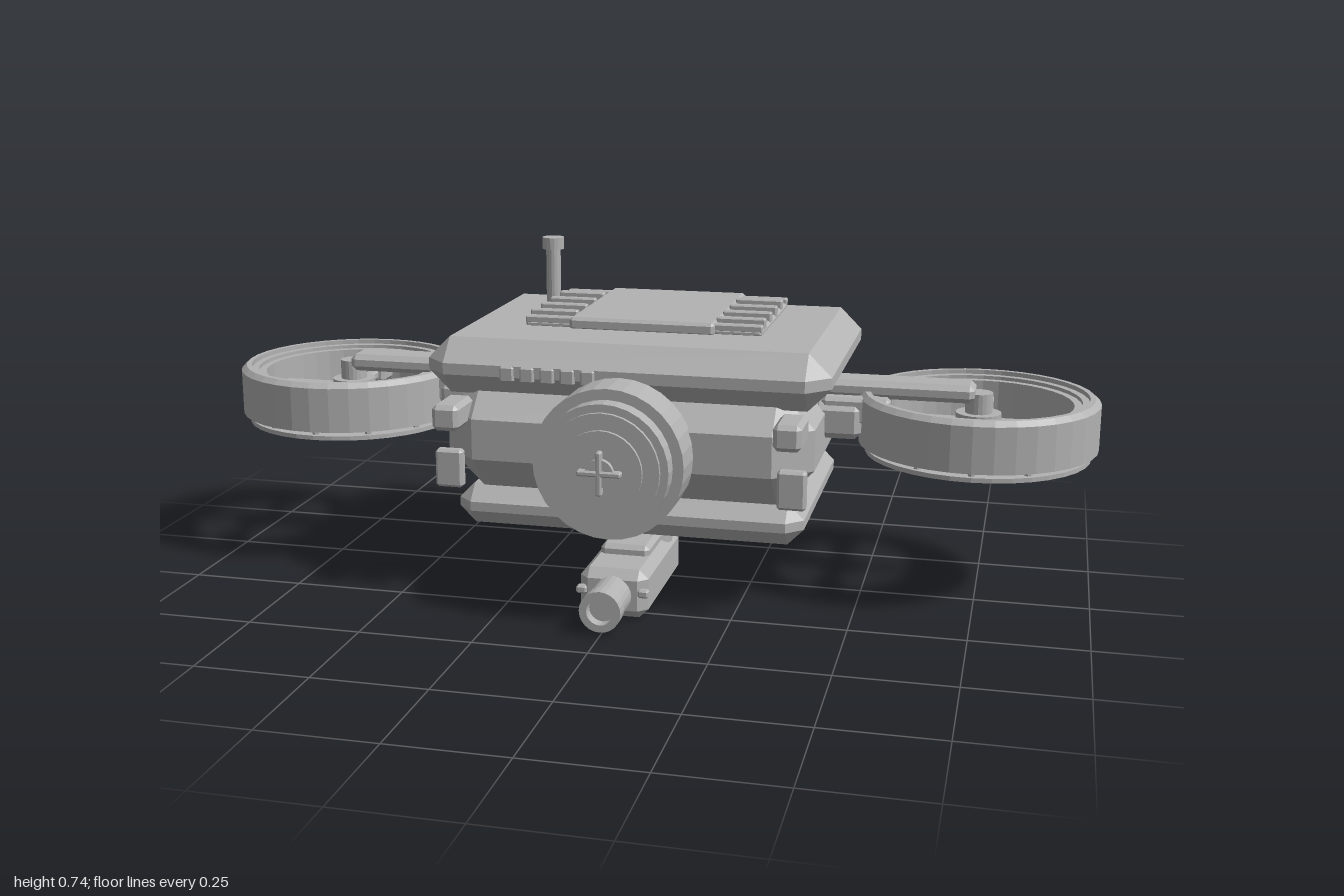
import * as THREE from 'three';
import { ConvexGeometry } from 'three/addons/geometries/ConvexGeometry.js';

const grey = new THREE.MeshStandardMaterial({ color: 0xb2b2b2 });
grey.name = 'hullGrey';
grey.flatShading = true;

function add(parent, name, geometry, x = 0, y = 0, z = 0) {
  const mesh = new THREE.Mesh(geometry, grey);
  mesh.name = name;
  mesh.position.set(x, y, z);
  parent.add(mesh);
  return mesh;
}

// Box given by its extents, with every edge and corner cut by c
function chamferBox(parent, name, [x0, x1], [y0, y1], [z0, z1], c) {
  const h = [(x1 - x0) / 2, (y1 - y0) / 2, (z1 - z0) / 2];
  const points = [];
  for (const sx of [-1, 1]) for (const sy of [-1, 1]) for (const sz of [-1, 1]) {
    for (let full = 0; full < 3; full++) {
      const p = h.map((v, i) => (i === full ? v : v - c));
      points.push(new THREE.Vector3(p[0] * sx, p[1] * sy, p[2] * sz));
    }
  }
  return add(parent, name, new ConvexGeometry(points), (x0 + x1) / 2, (y0 + y1) / 2, (z0 + z1) / 2);
}

function cylinder(parent, name, r, y0, y1, x, z, sides = 20) {
  return add(parent, name, new THREE.CylinderGeometry(r, r, y1 - y0, sides), x, (y0 + y1) / 2, z);
}

function cylinderZ(parent, name, r, z0, z1, x, y, sides = 32) {
  const g = new THREE.CylinderGeometry(r, r, z1 - z0, sides).rotateX(Math.PI / 2);
  return add(parent, name, g, x, y, (z0 + z1) / 2);
}

function lathe(parent, name, profile, sides) {
  const points = profile.map(([r, y]) => new THREE.Vector2(r, y));
  return add(parent, name, new THREE.LatheGeometry(points, sides));
}

// Ducted fan, centred on its own axis
function createFan() {
  const fan = new THREE.Group();
  lathe(fan, 'ductRing', [
    [0.215, 0.34], [0.262, 0.34], [0.262, 0.442], [0.25, 0.453], [0.238, 0.453],
    [0.238, 0.443], [0.222, 0.443], [0.222, 0.435], [0.205, 0.435], [0.205, 0.34], [0.215, 0.34],
  ], 36);
  lathe(fan, 'lowerRing', [[0.2, 0.318], [0.247, 0.318], [0.247, 0.328], [0.2, 0.328], [0.2, 0.318]], 36);
  for (let i = 0; i < 12; i++) {
    const a = (i / 12) * Math.PI * 2;
    cylinder(fan, 'ringSpacer', 0.008, 0.326, 0.342, Math.cos(a) * 0.23, Math.sin(a) * 0.23, 6);
  }
  cylinder(fan, 'hub', 0.05, 0.37, 0.41, 0, 0);
  cylinder(fan, 'hubCap', 0.03, 0.41, 0.455, 0, 0);
  chamferBox(fan, 'longBlade', [-0.18, 0.18], [0.382, 0.396], [-0.016, 0.016], 0.004);
  chamferBox(fan, 'crossBar', [-0.013, 0.013], [0.38, 0.4], [-0.18, 0.18], 0.004);
  for (const s of [-1, 1]) {
    const z = s * 0.152;
    chamferBox(fan, 'bladeWeight', [-0.027, 0.027], [0.37, 0.412], [z - 0.032, z + 0.032], 0.008);
  }
  return fan;
}

export function createModel() {
  const model = new THREE.Group();
  model.name = 'drone';

  // Hull: three stacked chamfered slabs
  chamferBox(model, 'upperHull', [-0.445, 0.445], [0.455, 0.58], [-0.41, 0.23], 0.05);
  chamferBox(model, 'middleHull', [-0.41, 0.41], [0.24, 0.49], [-0.395, 0.24], 0.08);
  chamferBox(model, 'lowerHull', [-0.39, 0.39], [0.15, 0.243], [-0.38, 0.19], 0.036);

  // Roof hatch with ribbed vents on both sides
  chamferBox(model, 'roofHatch', [-0.165, 0.165], [0.575, 0.605], [-0.362, 0.038], 0.007);
  for (const s of [-1, 1]) {
    const x = [s * 0.215 - 0.055, s * 0.215 + 0.055];
    chamferBox(model, 'ventBase', x, [0.575, 0.592], [-0.34, 0.025], 0.006);
    for (const z of [-0.33, -0.26, -0.18, -0.103, -0.025, 0.013]) {
      const top = z === -0.33 || z === 0.013 ? 0.602 : 0.61;
      chamferBox(model, 'ventRib', x, [0.585, top], [z - 0.011, z + 0.011], 0.003);
    }
  }

  // Antenna
  cylinder(model, 'antennaMast', 0.0175, 0.575, 0.712, -0.29, -0.27, 16);
  cylinder(model, 'antennaCap', 0.026, 0.71, 0.738, -0.29, -0.27, 16);

  // Stepped front sensor with a cross on its face
  const steps = [[0.163, 0.335], [0.14, 0.375], [0.123, 0.384], [0.088, 0.392], [0.03, 0.404]];
  let back = 0.24;
  for (const [r, z] of steps) {
    cylinderZ(model, 'sensorStep', r, back - 0.01, z, 0, 0.355);
    back = z;
  }
  chamferBox(model, 'sensorCrossBar', [-0.047, 0.047], [0.349, 0.361], [0.39, 0.41], 0.003);
  chamferBox(model, 'sensorCrossPost', [-0.006, 0.006], [0.308, 0.402], [0.39, 0.41], 0.003);

  // Small slots on the front edge
  for (let i = 0; i < 5; i++) {
    const x = -0.25 + i * 0.045;
    chamferBox(model, 'frontSlot', [x - 0.016, x + 0.016], [0.495, 0.53], [0.215, 0.235], 0.004);
  }

  for (const s of [-1, 1]) {
    // Front corner clips
    chamferBox(model, 'upperClip', [s * 0.37 - 0.03, s * 0.37 + 0.03], [0.395, 0.452], [0.187, 0.3], 0.01);
    chamferBox(model, 'lowerClip', [s * 0.376 - 0.031, s * 0.376 + 0.031], [0.26, 0.345], [0.238, 0.264], 0.006);

    // Fan and its supporting arm
    const fan = createFan();
    fan.name = s > 0 ? 'leftFan' : 'rightFan';
    fan.position.set(s * 0.738, 0, -0.085);
    model.add(fan);
    const span = (a, b) => (s > 0 ? [a, b] : [-b, -a]);
    chamferBox(model, 'upperArm', span(0.38, 0.73), [0.435, 0.475], [-0.13, -0.043], 0.012);
    chamferBox(model, 'armMount', span(0.38, 0.49), [0.352, 0.432], [-0.18, 0.01], 0.015);
    for (const z of [-0.15, -0.02]) {
      chamferBox(model, 'armBrace', span(0.4, 0.55), [0.385, 0.445], [z - 0.02, z + 0.02], 0.008);
    }
  }

  // Camera hanging below on a swivel
  cylinder(model, 'swivel', 0.07, 0.06, 0.16, 0, 0.027, 24);
  chamferBox(model, 'cameraBody', [-0.075, 0.075], [0.002, 0.11], [-0.042, 0.298], 0.02);
  chamferBox(model, 'cameraTop', [-0.055, 0.055], [0.1, 0.132], [-0.022, 0.19], 0.01);
  cylinderZ(model, 'lensBarrel', 0.042, 0.28, 0.38, 0, 0.055, 24);
  const rim = lathe(model, 'lensRim', [[0.029, -0.02], [0.045, -0.02], [0.045, 0.013], [0.029, 0.013], [0.029, -0.02]], 24);
  rim.rotation.x = Math.PI / 2;
  rim.position.set(0, 0.055, 0.392);
  for (const s of [-1, 1]) {
    chamferBox(model, 'cameraKnob', [s * 0.068 - 0.012, s * 0.068 + 0.012], [0.054, 0.072], [0.284, 0.303], 0.004);
  }
  return model;
}
